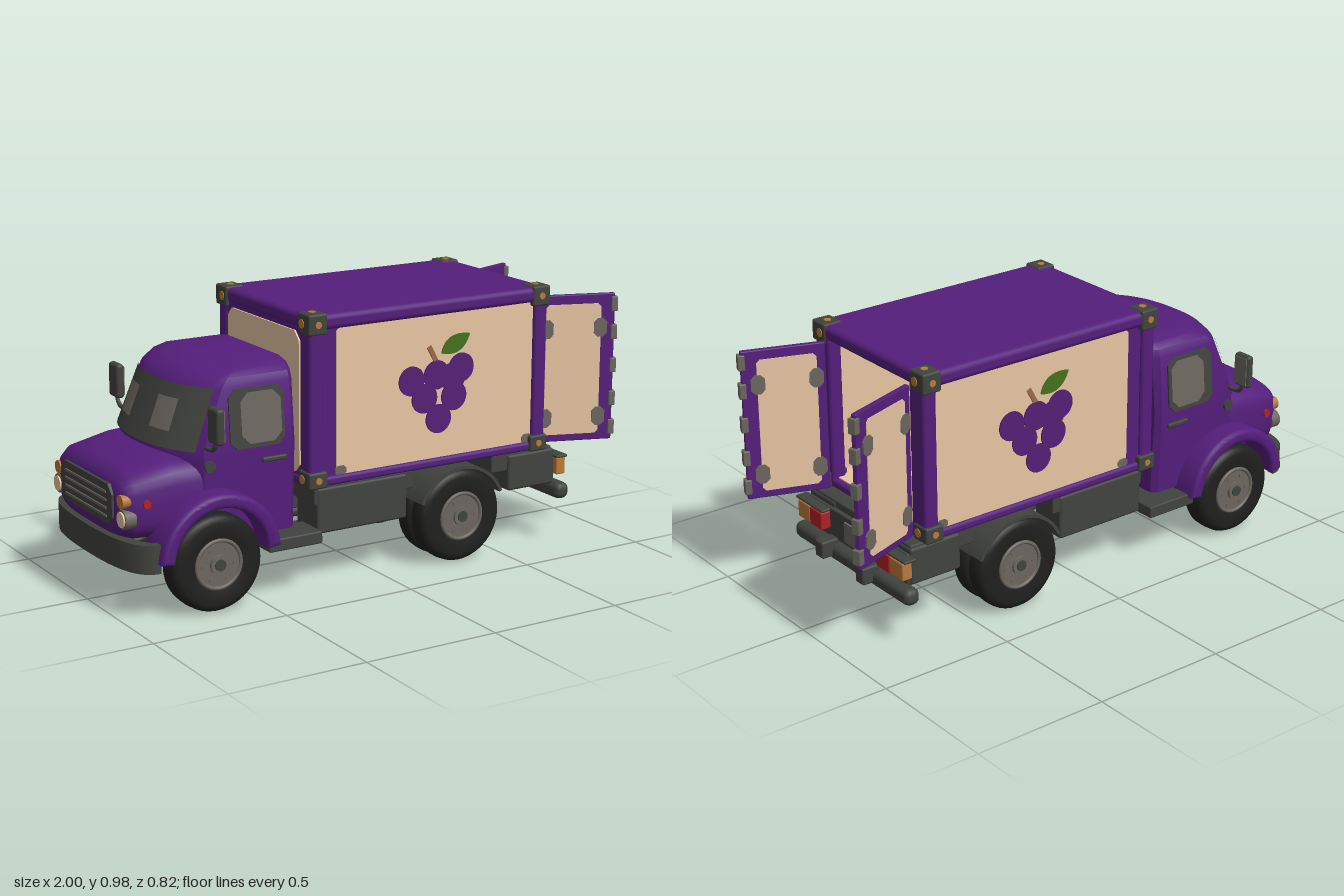
import * as THREE from 'three';
import { toCreasedNormals } from 'three/addons/utils/BufferGeometryUtils.js';
import { RoundedBoxGeometry } from 'three/addons/geometries/RoundedBoxGeometry.js';

const mat = (name, color) => Object.assign(new THREE.MeshStandardMaterial({ color }), { name });
const purple = mat('purple paint', 0x541e7b), cream = mat('cream panel', 0xe8c5a2);
const dark = mat('dark grey', 0x41433e), tyre = mat('tyre black', 0x1f1f1e);
const grey = mat('metal grey', 0x6c665f), orange = mat('amber', 0xb87a3a);
const red = mat('red lamp', 0xb02024), green = mat('leaf green', 0x43701c);
const grape = mat('grape purple', 0x561f76), brown = mat('stem brown', 0x9a6a45);

function add(parent, name, geo, material, x = 0, y = 0, z = 0) {
  const m = new THREE.Mesh(geo, material);
  m.name = name;
  m.position.set(x, y, z);
  parent.add(m);
  return m;
}

// Rounded box given by its extents
function block(parent, name, material, x0, x1, y0, y1, z0, z1, r = 0.006) {
  const w = x1 - x0, h = y1 - y0, d = Math.abs(z1 - z0);
  const geo = r ? new RoundedBoxGeometry(w, h, d, 2, Math.min(r, w / 2.1, h / 2.1, d / 2.1))
    : new THREE.BoxGeometry(w, h, d);
  return add(parent, name, geo, material, (x0 + x1) / 2, (y0 + y1) / 2, (z0 + z1) / 2);
}

// Thin plate in the xy plane with cut corners
function plate(w, h, c, depth = 0.008) {
  const a = w / 2, b = h / 2;
  const pts = [[a - c, -b], [a, c - b], [a, b - c], [a - c, b], [c - a, b], [-a, b - c], [-a, c - b], [c - a, -b]];
  const s = new THREE.Shape(pts.map(p => new THREE.Vector2(...p)));
  return new THREE.ExtrudeGeometry(s, { depth, bevelEnabled: false }).translate(0, 0, -depth / 2);
}

// Skin over closed rings of equal length, capped at both ends
function loft(rings, crease = 0.7) {
  const n = rings[0].length, pos = rings.flat(2), idx = [];
  for (let i = 0; i < rings.length - 1; i++) for (let j = 0; j < n; j++) {
    const a = i * n + j, b = i * n + (j + 1) % n;
    idx.push(a, b, b + n, a, b + n, a + n);
  }
  [[0, true], [rings.length - 1, false]].forEach(([r, flip]) => {
    const c = pos.length / 3;
    for (let k = 0; k < 3; k++) pos.push(rings[r].reduce((t, p) => t + p[k], 0) / n);
    for (let j = 0; j < n; j++) {
      const a = r * n + j, b = r * n + (j + 1) % n;
      idx.push(c, flip ? b : a, flip ? a : b);
    }
  });
  const g = new THREE.BufferGeometry();
  g.setAttribute('position', new THREE.Float32BufferAttribute(pos, 3));
  g.setIndex(idx);
  return toCreasedNormals(g, crease);
}

// Wheel arch along z
function arch(r0, r1, a0, depth, bevel) {
  const s = new THREE.Shape();
  s.absarc(0, 0, r1, a0, Math.PI - a0, false);
  s.absarc(0, 0, r0, Math.PI - a0, a0, true);
  const g = new THREE.ExtrudeGeometry(s, { depth: depth - 2 * bevel, bevelEnabled: bevel > 0,
    bevelSize: bevel, bevelThickness: bevel, bevelSegments: 3, curveSegments: 24 });
  return toCreasedNormals(g.translate(0, 0, bevel - depth / 2), 0.6);
}

const cylX = (r, len) => new THREE.CylinderGeometry(r, r, len, 20).rotateZ(Math.PI / 2);
const cylZ = (r, len) => new THREE.CylinderGeometry(r, r, len, 28).rotateX(Math.PI / 2);

// Point on the curved cab front, t runs across from -1 to 1
const front = (w, xf, t) => [xf + 0.1 * Math.abs(t) ** 2.5, w * t];

function buildCab(truck) {
  const cab = new THREE.Group();
  cab.name = 'cab';
  truck.add(cab);
  const slices = [[0.235, 0.29, -0.79], [0.52, 0.303, -0.8], [0.56, 0.303, -0.8], [0.76, 0.285, -0.72],
    [0.79, 0.273, -0.69], [0.81, 0.25, -0.65], [0.822, 0.2, -0.58]];
  add(cab, 'cabBody', loft(slices.map(([y, w, xf]) => {
    const ring = [];
    for (let i = 0; i <= 20; i++) { const [x, z] = front(w, xf, i / 10 - 1); ring.push([x, y, z]); }
    ring.push([-0.36, y, w], [-0.34, y, w - 0.02], [-0.34, y, 0.02 - w], [-0.36, y, -w]);
    return ring;
  })), purple);
  const hood = [[-0.985, 0.21, 0.31, 0.45], [-0.975, 0.255, 0.28, 0.485], [-0.94, 0.28, 0.26, 0.51],
    [-0.8, 0.29, 0.25, 0.54], [-0.7, 0.297, 0.25, 0.545]];
  const pw = v => Math.sign(v) * Math.abs(v) ** 0.5;
  add(cab, 'hood', loft(hood.map(([x, w, y0, y1]) => Array.from({ length: 40 }, (_, i) => {
    const a = i / 20 * Math.PI;
    return [x, (y0 + y1) / 2 + pw(Math.cos(a)) * (y1 - y0) / 2, pw(Math.sin(a)) * w];
  }))), purple);

  // Windscreen pieces follow the cab front
  const screen = (name, material, t0, t1, y0, y1, off) => {
    const g = new THREE.PlaneGeometry(1, 1, 20, 1), p = g.attributes.position;
    for (let i = 0; i < p.count; i++) {
      const t = t0 + (p.getX(i) + 0.5) * (t1 - t0), k = (p.getY(i) + 0.5);
      const y = y0 + k * (y1 - y0), f = (y - 0.56) / 0.2;
      const [x, z] = front(0.303 - 0.018 * f, -0.8 + 0.08 * f, t);
      p.setXYZ(i, x - off, y, z);
    }
    g.computeVertexNormals();
    add(cab, name, g, material);
  };
  screen('windscreen', dark, -0.94, 0.94, 0.555, 0.76, 0.007);
  for (const s of [-1, 1]) screen('windscreenGlass', grey, s * 0.42 - 0.17, s * 0.42 + 0.17, 0.61, 0.715, 0.011);

  // Grille
  add(cab, 'grilleFrame', plate(0.4, 0.14, 0.03, 0.02).rotateY(Math.PI / 2), dark, -0.983, 0.39);
  for (let i = 0; i < 4; i++) block(cab, 'grilleBar', grey, -0.997, -0.99, 0.342 + i * 0.028, 0.35 + i * 0.028, -0.16, 0.16, 0);

  // Curved front bumper
  const b = new THREE.Shape();
  b.moveTo(-0.89, -0.35);
  b.bezierCurveTo(-0.97, -0.35, -1, -0.25, -1, 0);
  b.bezierCurveTo(-1, 0.25, -0.97, 0.35, -0.89, 0.35);
  b.lineTo(-0.89, 0.32);
  b.bezierCurveTo(-0.94, 0.31, -0.95, 0.22, -0.95, 0);
  b.bezierCurveTo(-0.95, -0.22, -0.94, -0.31, -0.89, -0.32);
  const bg = new THREE.ExtrudeGeometry(b, { depth: 0.1, bevelEnabled: false, curveSegments: 16 }).rotateX(-Math.PI / 2);
  add(cab, 'frontBumper', toCreasedNormals(bg, 0.6), dark, 0, 0.18);

  for (const s of [1, -1]) {
    add(cab, 'fender', arch(0.192, 0.21, 0.13, 0.145, 0.016), purple, -0.675, 0.2, s * 0.314);
    // Side window, handle and lamps
    const win = add(cab, 'sideWindow', plate(0.21, 0.205, 0.025), dark, -0.495, 0.65, s * 0.297);
    const glass = add(cab, 'sideGlass', plate(0.155, 0.175, 0.03), grey, -0.48, 0.65, s * 0.301);
    win.rotation.x = glass.rotation.x = -s * 0.09;
    block(cab, 'doorHandle', dark, -0.48, -0.385, 0.49, 0.508, s * 0.3, s * 0.315);
    add(cab, 'fuelCap', cylZ(0.02, 0.016), dark, -0.68, 0.505, s * 0.305);
    add(cab, 'markerLamp', cylZ(0.014, 0.012), red, -0.905, 0.405, s * 0.285);
    add(cab, 'headlampRim', cylX(0.034, 0.04), grey, -0.962, 0.355, s * 0.25);
    add(cab, 'headlamp', cylX(0.027, 0.04), cream, -0.968, 0.355, s * 0.25);
    add(cab, 'indicator', cylX(0.024, 0.04), orange, -0.965, 0.415, s * 0.245);
    // Mirror on a bent arm
    const arm = new THREE.CatmullRomCurve3([[0.57, 0.295], [0.575, 0.35], [0.6, 0.37], [0.66, 0.37]]
      .map(([y, z]) => new THREE.Vector3(-0.69, y, s * z)));
    add(cab, 'mirrorArm', new THREE.TubeGeometry(arm, 16, 0.008, 8), dark);
    block(cab, 'mirror', dark, -0.705, -0.675, 0.6, 0.725, s * 0.335, s * 0.41, 0.012);
    block(cab, 'mirrorGlass', grey, -0.677, -0.672, 0.61, 0.715, s * 0.343, s * 0.402, 0);
    block(cab, 'step', dark, -0.48, -0.27, 0.18, 0.225, s * 0.22, s * 0.355);
  }
}

function buildCargoBox(truck) {
  const box = new THREE.Group();
  box.name = 'cargoBox';
  truck.add(box);
  block(box, 'floor', purple, -0.3, 0.7, 0.368, 0.402, -0.32, 0.32, 0.012);
  block(box, 'roof', purple, -0.3, 0.7, 0.92, 0.976, -0.325, 0.325, 0.02);
  block(box, 'frontWall', purple, -0.295, -0.275, 0.39, 0.94, -0.3, 0.3, 0);
  add(box, 'frontPanel', plate(0.5, 0.5, 0.03).rotateY(Math.PI / 2), cream, -0.297, 0.66);
  // Lining
  add(box, 'frontLining', plate(0.52, 0.51, 0.07).rotateY(Math.PI / 2), cream, -0.273, 0.665, -0.03);
  block(box, 'floorLining', cream, -0.27, 0.68, 0.4, 0.406, -0.29, 0.29, 0);
  block(box, 'ceilingLining', cream, -0.27, 0.64, 0.914, 0.921, -0.29, 0.29, 0);
  block(box, 'kickPlate', dark, -0.27, -0.262, 0.405, 0.43, -0.28, 0.18, 0);
  block(box, 'kickPlateCorner', dark, -0.27, -0.262, 0.43, 0.485, -0.28, -0.165, 0);
  block(box, 'wallHook', dark, -0.27, -0.262, 0.68, 0.715, -0.17, -0.142, 0);
  block(box, 'wallHookBase', purple, -0.27, -0.262, 0.645, 0.68, -0.17, -0.142, 0);

  for (const s of [1, -1]) {
    block(box, 'sideWall', purple, -0.29, 0.69, 0.39, 0.94, s * 0.288, s * 0.306, 0);
    block(box, 'sideLining', cream, -0.27, 0.645, 0.4, 0.92, s * 0.283, s * 0.289, 0);
    add(box, 'sidePanel', plate(0.83, 0.525, 0.015), cream, 0.228, 0.662, s * 0.305);
    for (const x of [-0.17, 0.626]) add(box, 'panelBracket', plate(0.045, 0.035, 0.01), grey, x, 0.415, s * 0.307);
    block(box, 'frontPost', purple, -0.3, -0.245, 0.38, 0.95, s * 0.26, s * 0.322, 0.015);
    block(box, 'rearPost', purple, 0.645, 0.7, 0.38, 0.95, s * 0.235, s * 0.322, 0.015);
    for (const [x, d] of [[-0.27, -1], [0.668, 1]]) for (const [y, h] of [[0.944, 0.074], [0.396, 0.06]]) {
      block(box, 'cornerCap', dark, x - 0.037, x + 0.037, y - h / 2, y + h / 2, s * 0.25, s * 0.33, 0.008);
      add(box, 'cornerLampSide', cylZ(0.012, 0.005), orange, x, y, s * 0.33);
      add(box, 'cornerLampEnd', cylX(0.016, 0.005), orange, x + d * 0.037, y, s * 0.28);
    }
    for (const x of [-0.27, 0.668]) add(box, 'cornerLampTop', new THREE.CylinderGeometry(0.013, 0.013, 0.005, 16), orange, x, 0.981, s * 0.285);

    // Grape picture, turned about the middle of the panel
    const art = new THREE.Group();
    art.name = 'grapePicture';
    art.position.set(0.225, 0, s * 0.311);
    art.rotation.y = s > 0 ? 0 : Math.PI;
    box.add(art);
    for (const [x, y] of [[-0.105, 0.695], [0, 0.705], [0.105, 0.72], [-0.05, 0.625], [0.075, 0.62], [0.01, 0.545], [0.07, 0.69]])
      add(art, 'grape', cylZ(0.053, 0.006), grape, x, y, 0);
    const leaf = new THREE.Shape();
    leaf.moveTo(-0.06, -0.03);
    leaf.quadraticCurveTo(-0.04, 0.05, 0.06, 0.03);
    leaf.quadraticCurveTo(0.03, -0.055, -0.06, -0.03);
    add(art, 'leaf', new THREE.ExtrudeGeometry(leaf, { depth: 0.006, bevelEnabled: false }), green, 0.08, 0.81, -0.003);
    add(art, 'stem', new THREE.BoxGeometry(0.018, 0.065, 0.006), brown, -0.017, 0.782, 0).rotation.z = 0.5;

    // Open rear door
    const door = new THREE.Group();
    door.name = 'rearDoor';
    door.position.set(0.71, 0, s * 0.245);
    door.rotation.y = -s * 0.34;
    box.add(door);
    block(door, 'doorFrame', purple, 0, 0.295, 0.373, 0.925, -0.01, 0.01, 0.004);
    add(door, 'doorPanel', plate(0.21, 0.49, 0.012, 0.026), cream, 0.137, 0.645);
    for (const y of [0.42, 0.53, 0.655, 0.78, 0.885])
      block(door, 'edgeHinge', grey, 0.28, 0.305, y - 0.028, y + 0.028, -0.016, 0.016, 0.004);
    for (const y of [0.465, 0.8]) for (const x of [0.035, 0.24])
      add(door, 'hingePlate', plate(0.05, 0.07, 0.015, 0.032), grey, x, y);
  }
}

function buildWheels(truck) {
  // Tyre width is a factor on the front tyre
  const wheel = (name, x, z, s, k) => {
    const profile = [[0.08, -0.045], [0.11, -0.052], [0.145, -0.054], [0.162, -0.045], [0.17, -0.03],
      [0.172, 0], [0.17, 0.03], [0.162, 0.045], [0.145, 0.054], [0.11, 0.052], [0.08, 0.045]];
    const points = profile.map(([r, d]) => new THREE.Vector2(r, d * k));
    const g = new THREE.Group();
    g.name = name;
    g.position.set(x, 0.178, z);
    truck.add(g);
    add(g, 'tyre', new THREE.LatheGeometry(points, 40).rotateX(Math.PI / 2), tyre);
    add(g, 'rim', cylZ(0.09, 0.1 * k), grey);
    add(g, 'rimRing', new THREE.TorusGeometry(0.084, 0.007, 8, 32), grey, 0, 0, s * 0.05 * k);
    add(g, 'hub', cylZ(0.034, 0.12 * k), grey);
    add(g, 'hubCap', cylZ(0.02, 0.13 * k), dark);
    for (let i = 0; i < 6; i++) add(g, 'wheelNut', cylZ(0.008, 0.108 * k), grey, 0.06 * Math.cos(i * Math.PI / 3), 0.06 * Math.sin(i * Math.PI / 3));
  };
  for (const s of [1, -1]) {
    wheel('frontWheel', -0.68, s * 0.31, s, 1);
    wheel('rearInnerWheel', 0.32, s * 0.213, s, 0.82);
    wheel('rearOuterWheel', 0.32, s * 0.3, s, 0.82);
    add(truck, 'rearMudguard', arch(0.178, 0.19, 0.4, 0.18, 0), dark, 0.32, 0.175, s * 0.257);
  }
}

function buildChassis(truck) {
  const c = new THREE.Group();
  c.name = 'chassis';
  truck.add(c);
  block(c, 'frame', dark, -0.92, 0.75, 0.25, 0.35, -0.15, 0.15);
  block(c, 'underFloor', dark, -0.27, 0.14, 0.3, 0.368, -0.3, 0.3);
  block(c, 'rearFloor', dark, 0.48, 0.75, 0.3, 0.368, -0.3, 0.3);
  add(c, 'rearAxle', cylZ(0.04, 0.56), dark, 0.32, 0.178);
  add(c, 'frontAxle', cylZ(0.03, 0.56), dark, -0.68, 0.178);
  add(c, 'rearDifferential', new THREE.SphereGeometry(0.075, 20, 14), grey, 0.32, 0.172);
  add(c, 'gearbox', new THREE.SphereGeometry(0.06, 20, 14), dark, -0.62, 0.185);
  add(c, 'driveShaft', cylX(0.022, 0.92), dark, -0.15, 0.19);
  // Rear bumper and plate
  block(c, 'rearBumper', dark, 0.745, 0.805, 0.168, 0.23, -0.35, 0.35, 0.025);
  block(c, 'rearPanel', dark, 0.735, 0.765, 0.22, 0.34, -0.3, 0.3);
  block(c, 'numberPlate', grey, 0.765, 0.773, 0.245, 0.32, -0.07, 0.07, 0);
  for (const s of [1, -1]) {
    block(c, 'sideTank', dark, -0.26, 0.11, 0.195, 0.36, s * 0.16, s * 0.305, 0.01);
    block(c, 'lowerRail', dark, -0.5, 0.16, 0.16, 0.2, s * 0.13, s * 0.2);
    block(c, 'rearLocker', dark, 0.55, 0.755, 0.225, 0.36, s * 0.15, s * 0.31, 0.01);
    block(c, 'bumperBuffer', dark, 0.775, 0.845, 0.185, 0.25, s * 0.1, s * 0.15, 0.008);
    block(c, 'amberLamp', orange, 0.76, 0.8, 0.258, 0.325, s * 0.245, s * 0.322);
    block(c, 'redLamp', red, 0.76, 0.802, 0.258, 0.325, s * 0.168, s * 0.245);
    block(c, 'lampHood', dark, 0.75, 0.8, 0.325, 0.336, s * 0.165, s * 0.335);
  }
}

export function createModel() {
  const truck = new THREE.Group();
  truck.name = 'deliveryTruck';
  buildCab(truck);
  buildCargoBox(truck);
  buildWheels(truck);
  buildChassis(truck);
  return truck;
}
